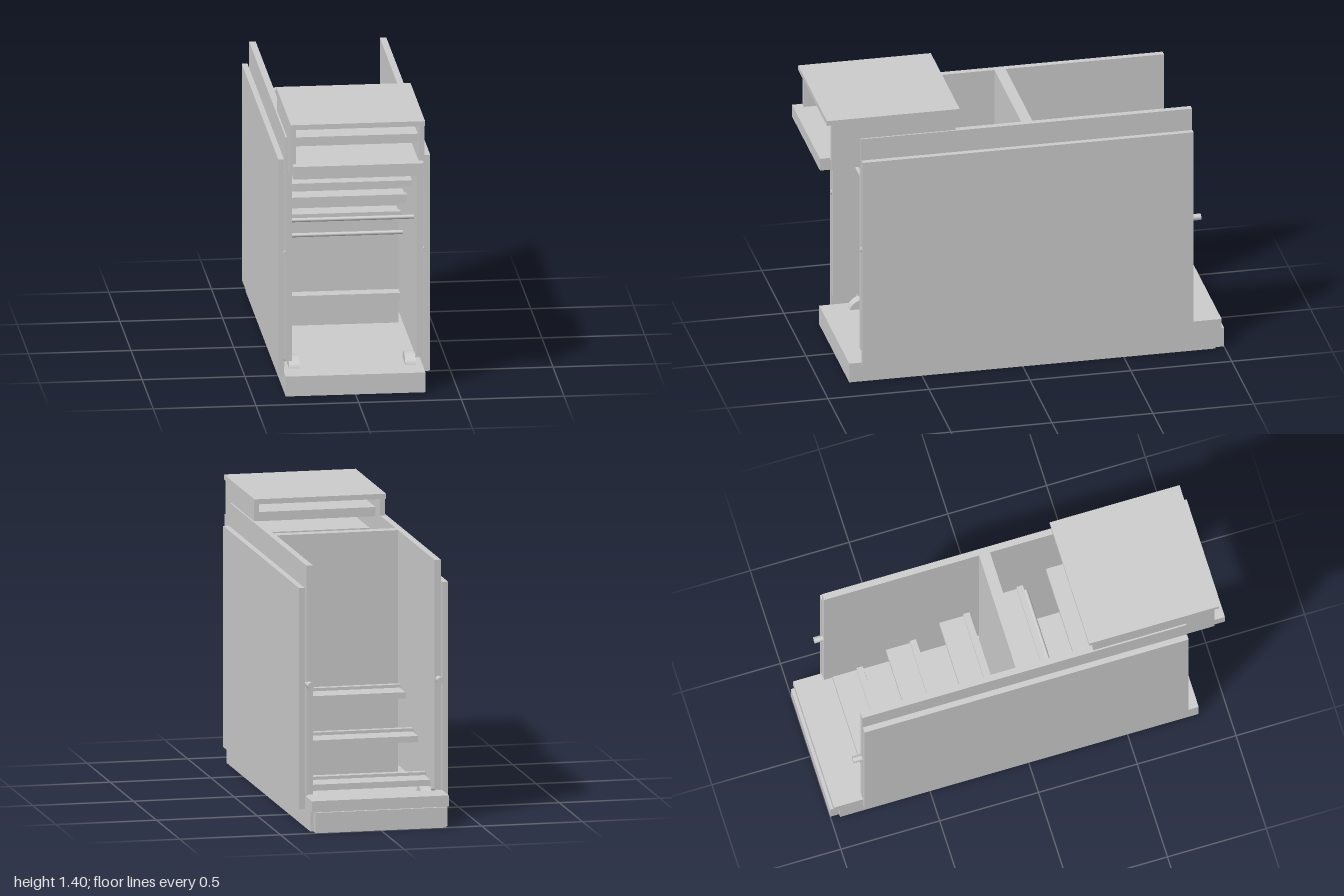
import * as THREE from 'three';

export function createModel() {
  const group = new THREE.Group();
  const mat = new THREE.MeshStandardMaterial({ color: 0xcccccc, flatShading: true });
  const round = new THREE.MeshStandardMaterial({ color: 0xcccccc });

  // Box given by its ranges on each axis
  const box = (name, x0, x1, y0, y1, z0, z1) => {
    const m = new THREE.Mesh(new THREE.BoxGeometry(x1 - x0, y1 - y0, z1 - z0), mat);
    m.position.set((x0 + x1) / 2, (y0 + y1) / 2, (z0 + z1) / 2);
    m.name = name;
    group.add(m);
  };
  // Box centred on x
  const wide = (name, half, ...r) => box(name, -half, half, ...r);
  // Box mirrored to both sides
  const pair = (name, x0, x1, ...r) => {
    box(name + 'Left', x0, x1, ...r);
    box(name + 'Right', -x1, -x0, ...r);
  };
  const cylinder = (name, radius, length, axis, x, y, z) => {
    const g = new THREE.CylinderGeometry(radius, radius, length, 20);
    if (axis === 'x') g.rotateZ(Math.PI / 2);
    else g.rotateX(Math.PI / 2);
    const m = new THREE.Mesh(g, round);
    m.position.set(x, y, z);
    m.name = name;
    group.add(m);
  };

  // Base with a raised rear sill and a rear lip
  wide('base', 0.34, 0, 0.1, -0.955, 0.86);
  wide('rearLip', 0.325, 0, 0.1, -1, -0.955);
  wide('rearSill', 0.34, 0.1, 0.155, -0.985, -0.84);

  // Side walls: inner panel, thin runner, outer panel
  pair('innerPanel', 0.302, 0.334, 0.16, 1.29, -0.84, 0.8);
  pair('panelRunner', 0.334, 0.342, 0.12, 1.1, -0.8, 0.76);
  pair('outerPanel', 0.342, 0.37, 0.09, 1.18, -0.84, 0.8);

  // Middle partition with a low cleat
  wide('partition', 0.302, 0.1, 1.29, -0.055, 0);
  wide('partitionCleat', 0.302, 0.23, 0.27, 0, 0.07);

  // Treads climbing from the back to the front
  for (let i = 0; i < 6; i++) {
    const y = 0.17 + 0.165 * i;
    const z = -0.8 + 0.27 * i;
    wide('tread', 0.291, y, y + 0.03, z, z + 0.152);
    if (i < 5) wide('treadLip', 0.296, y + 0.015, y + 0.045, z + 0.122, z + 0.154);
  }

  // Cross rods
  cylinder('lowerRod', 0.01, 0.604, 'x', 0, 0.61, 0.18);
  cylinder('upperRod', 0.01, 0.604, 'x', 0, 0.835, 0.68);

  // Wheels, panel rollers and pegs
  for (const s of [-1, 1]) {
    for (const z of [0.66, -0.7]) {
      cylinder('wheel', 0.07, 0.052, 'x', s * 0.283, 0.08, z);
      cylinder('panelRoller', 0.02, 0.026, 'x', s * 0.325, 0.14, z);
    }
    cylinder('rearPeg', 0.016, 0.07, 'z', s * 0.322, 0.703, -0.85);
    cylinder('frontPeg', 0.012, 0.02, 'z', s * 0.338, 0.703, 0.795);
  }

  // Raised top box with tray and shelf
  wide('topPlate', 0.327, 1.375, 1.4, 0.31, 0.967);
  pair('topBoxWall', 0.3, 0.326, 1.14, 1.375, 0.33, 0.945);
  wide('topBoxShelf', 0.302, 1.27, 1.315, 0.42, 0.89);
  wide('tray', 0.314, 1.135, 1.188, 0.55, 0.96);
  wide('trayLip', 0.317, 1.135, 1.198, 0.95, 1);

  return group;
}
